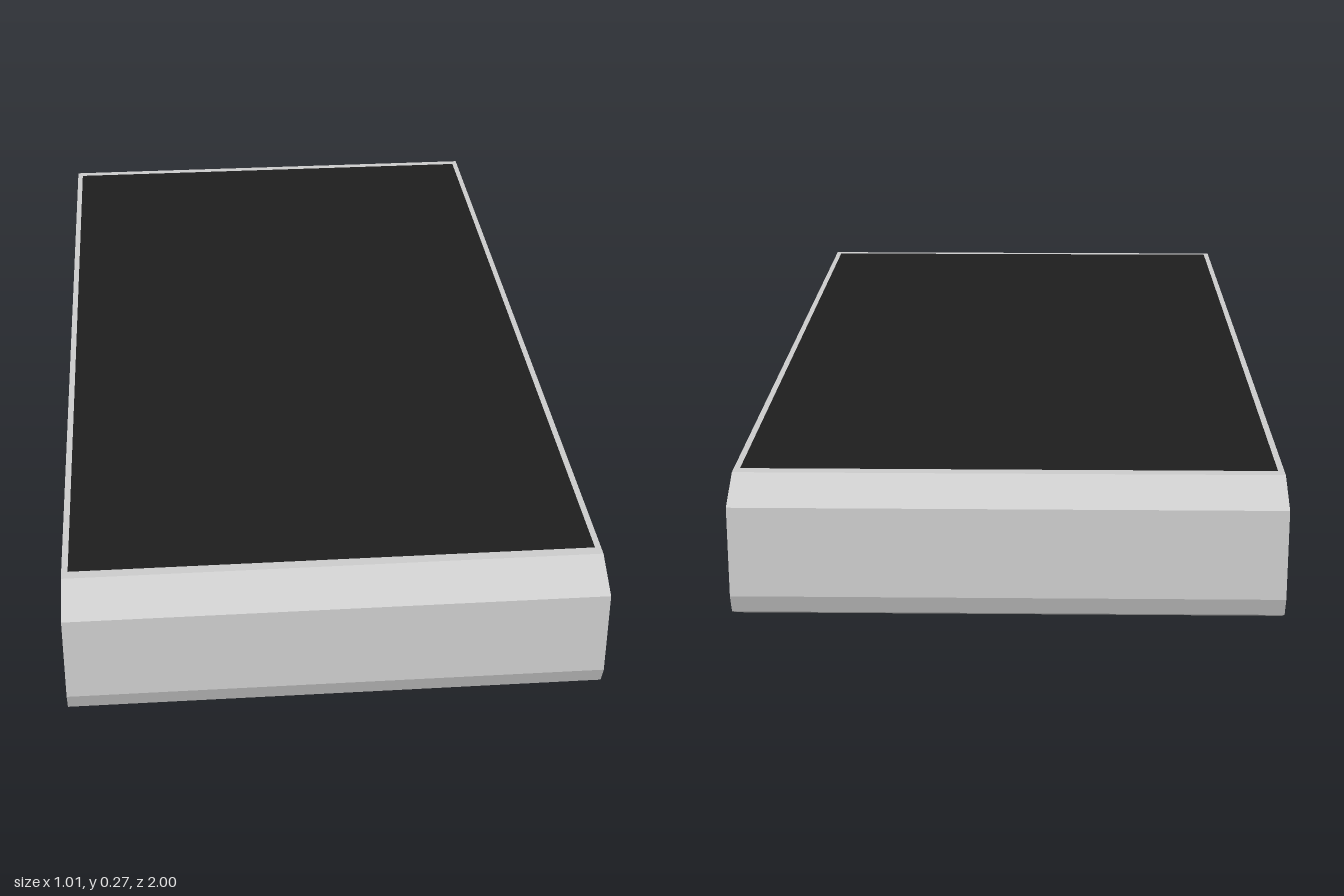
import * as THREE from 'three';

const WIDTH = 1.014, TOP = 0.265, INNER_Z = 0.78;

// Leg cross-section as (z, y), counter-clockwise
const PROFILE = [
  [1, 0.053], [1, 0.225], [0.92, TOP], [INNER_Z, TOP],
  [INNER_Z, 0.055], [0.83, 0], [0.95, 0], [0.985, 0.017],
];

export function createModel() {
  const model = new THREE.Group();
  model.name = 'lowBench';
  const grey = new THREE.MeshStandardMaterial({ color: 0xcccccc, flatShading: true });
  const black = new THREE.MeshStandardMaterial({ color: 0x1d1d1d });

  const add = (parent, name, geometry, material) => {
    const mesh = new THREE.Mesh(geometry, material);
    mesh.name = name;
    parent.add(mesh);
    return mesh;
  };
  const outline = PROFILE.map(([z, y]) => new THREE.Vector2(z, y));
  const inset = PROFILE.map(([z, y]) =>
    new THREE.Vector2(0.89 + (z - 0.89) * 0.8, 0.1325 + (y - 0.1325) * 0.84));

  // Extrude a (z, y) shape along x, centred
  const alongX = (shape, length) =>
    new THREE.ExtrudeGeometry(shape, { depth: length, bevelEnabled: false })
      .translate(0, 0, -length / 2).rotateY(-Math.PI / 2);

  // Front and back legs: chamfered tube with recessed end panels
  for (const [name, turn] of [['frontLeg', 0], ['backLeg', Math.PI]]) {
    const leg = new THREE.Group();
    leg.name = name;
    leg.rotation.y = turn;
    const shell = new THREE.Shape(outline);
    shell.holes.push(new THREE.Path(inset));
    add(leg, 'legShell', alongX(shell, WIDTH), grey);
    add(leg, 'endPanels', alongX(new THREE.Shape(inset), WIDTH - 0.02), grey);
    model.add(leg);
  }

  // Thin deck spanning the legs
  const deck = add(model, 'deck', new THREE.BoxGeometry(WIDTH, 0.006, 2 * INNER_Z), grey);
  deck.position.y = TOP - 0.003;

  // Dark surface laid over the deck and leg tops
  const surface = add(model, 'darkSurface',
    new THREE.PlaneGeometry(0.99, 1.8).rotateX(-Math.PI / 2), black);
  surface.position.y = TOP + 0.001;

  return model;
}
